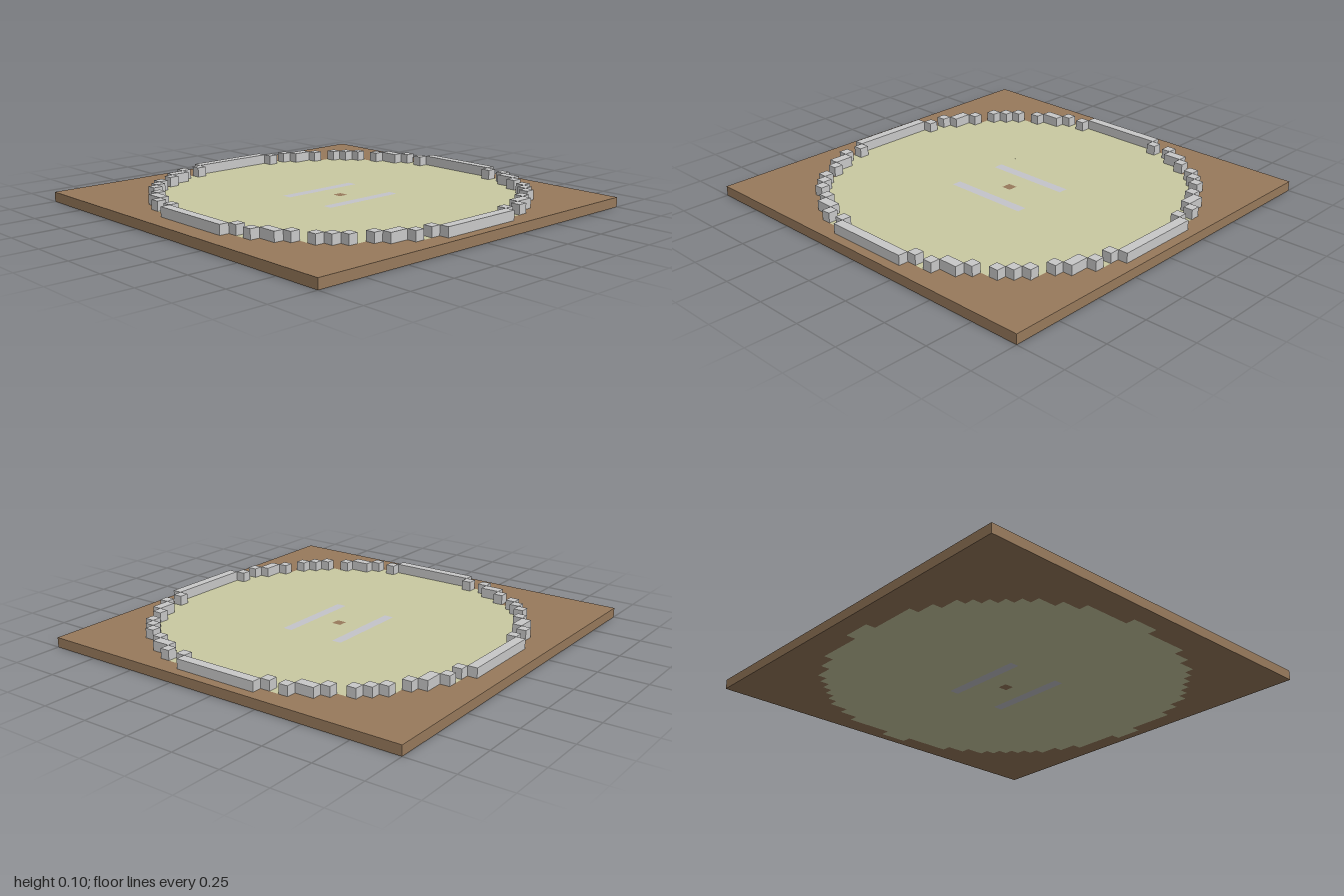
import * as THREE from 'three';
import { mergeGeometries } from 'three/addons/utils/BufferGeometryUtils.js';

const CELL = 0.05, N = 40;   // square cells on a 40 x 40 floor
const CX = 20, CZ = 19;      // centre cell of the ring

const mat = (name, color) => new THREE.MeshStandardMaterial({ name, color });

// Merge the cells picked by test(i, j) into one mesh, one box per run along x
function cellMesh(name, material, y, test) {
  const boxes = [];
  for (let r = 0; r < N; r++) {
    let start = -1;
    for (let c = 0; c <= N; c++) {
      const on = c < N && test(c - CX, r - CZ);
      if (on && start < 0) start = c;
      if (!on && start >= 0) {
        const box = new THREE.BoxGeometry((c - start) * CELL, CELL, CELL);
        box.translate((start + c) / 2 * CELL - 1, y + CELL / 2, (r + 0.5) * CELL - 1);
        boxes.push(box);
        start = -1;
      }
    }
  }
  const mesh = new THREE.Mesh(mergeGeometries(boxes), material);
  mesh.name = name;
  return mesh;
}

export function createModel() {
  const earth = mat('brown earth', 0x987a5c);
  const sand = mat('pale sand', 0xcacaa2);
  const stone = mat('grey stone', 0xc9c9c9);
  const chalk = mat('pale lavender chalk', 0xc4c4cb);

  // Rim blocks of one octant, mirrored to all eight
  const octant = [[5, 17], [7, 17], [8, 16], [9, 16], [10, 15], [12, 14], [13, 13]];
  for (let i = 0; i <= 4; i++) octant.push([i, 18]);
  const rimCells = new Set(octant.map(([a, b]) => `${a},${b}`));
  const isRim = (i, j) => {
    const a = Math.abs(i), b = Math.abs(j);
    return rimCells.has(`${Math.min(a, b)},${Math.max(a, b)}`);
  };

  // Floor pattern: sand disc, two starting lines and a centre mark
  const isLine = (i, j) => Math.abs(i) === 3 && Math.abs(j) <= 4;
  const isDisc = (i, j) => i * i + j * j <= 325;
  const isMark = (i, j) => i === 0 && j === 0;

  const model = new THREE.Group();
  model.name = 'ringArena';
  model.add(
    cellMesh('groundSlab', earth, 0, (i, j) => !isDisc(i, j)),
    cellMesh('centreMark', earth, 0, isMark),
    cellMesh('sandFloor', sand, 0, (i, j) => isDisc(i, j) && !isLine(i, j) && !isMark(i, j)),
    cellMesh('startingLines', chalk, 0, isLine),
    cellMesh('stoneRim', stone, CELL, isRim),
  );
  return model;
}
